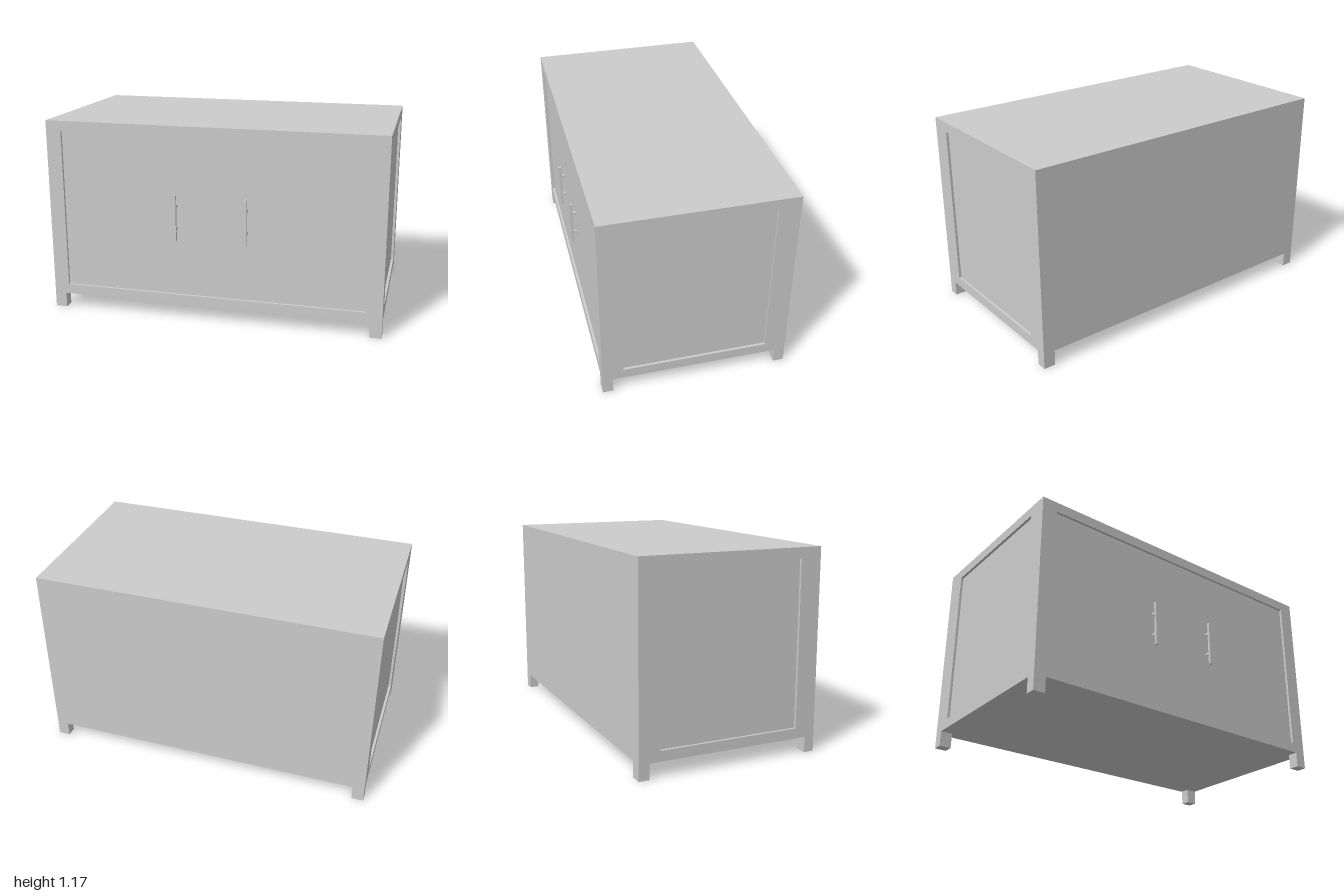
import * as THREE from 'three';

const TOP = 1.165, FLOOR = 0.09, FRONT = 0.533, BACK = -0.55, RECESS = 0.015;

export function createModel() {
  const group = new THREE.Group();
  const mat = new THREE.MeshStandardMaterial({ color: 0xcccccc });

  const add = (name, geo, parent = group) => {
    const mesh = new THREE.Mesh(geo, mat);
    mesh.name = name;
    parent.add(mesh);
    return mesh;
  };
  // box given by its min and max corners
  const box = (name, x0, x1, y0, y1, z0, z1, parent) =>
    add(name, new THREE.BoxGeometry(x1 - x0, y1 - y0, z1 - z0), parent)
      .position.set((x0 + x1) / 2, (y0 + y1) / 2, (z0 + z1) / 2);
  // flat frame with a rectangular opening, lying in the xy plane
  const rect = (path, u0, u1, v0, v1) =>
    path.moveTo(u0, v0).lineTo(u1, v0).lineTo(u1, v1).lineTo(u0, v1).closePath();
  const frame = (u0, u1, h0, h1) => {
    const shape = rect(new THREE.Shape(), u0, u1, FLOOR, TOP);
    shape.holes.push(rect(new THREE.Path(), h0, h1, 0.15, 1.105));
    return new THREE.ExtrudeGeometry(shape, { depth: RECESS, bevelEnabled: false });
  };

  // cabinet body, whose faces form the recessed panels
  const inner = FRONT - RECESS;
  box('cabinetBody', -1 + RECESS, 1 - RECESS, FLOOR, TOP, BACK, inner);

  // raised frames around the front and side panels
  add('frontFrame', frame(-1, 1, -0.908, 0.908)).position.z = inner;
  const left = add('leftFrame', frame(-inner, -BACK, -0.41, 0.425));
  left.rotation.y = Math.PI / 2;
  left.position.x = 1 - RECESS;
  const right = add('rightFrame', frame(BACK, inner, -0.425, 0.41));
  right.rotation.y = -Math.PI / 2;
  right.position.x = -1 + RECESS;

  // corner feet
  for (const [x0, x1] of [[-1, -0.93], [0.93, 1]]) {
    box('frontFoot', x0, x1, 0, FLOOR, FRONT - 0.06, FRONT);
    box('backFoot', x0, x1, 0, FLOOR, BACK, BACK + 0.06);
  }

  // bar handles on two short posts
  for (const x of [-0.211, 0.209]) {
    const handle = new THREE.Group();
    handle.name = 'handle';
    box('handleBar', x - 0.008, x + 0.008, 0.49, 0.765, 0.538, 0.554, handle);
    for (const y of [0.562, 0.696])
      box('handlePost', x - 0.008, x + 0.008, y - 0.008, y + 0.008, inner, 0.538, handle);
    group.add(handle);
  }
  return group;
}
